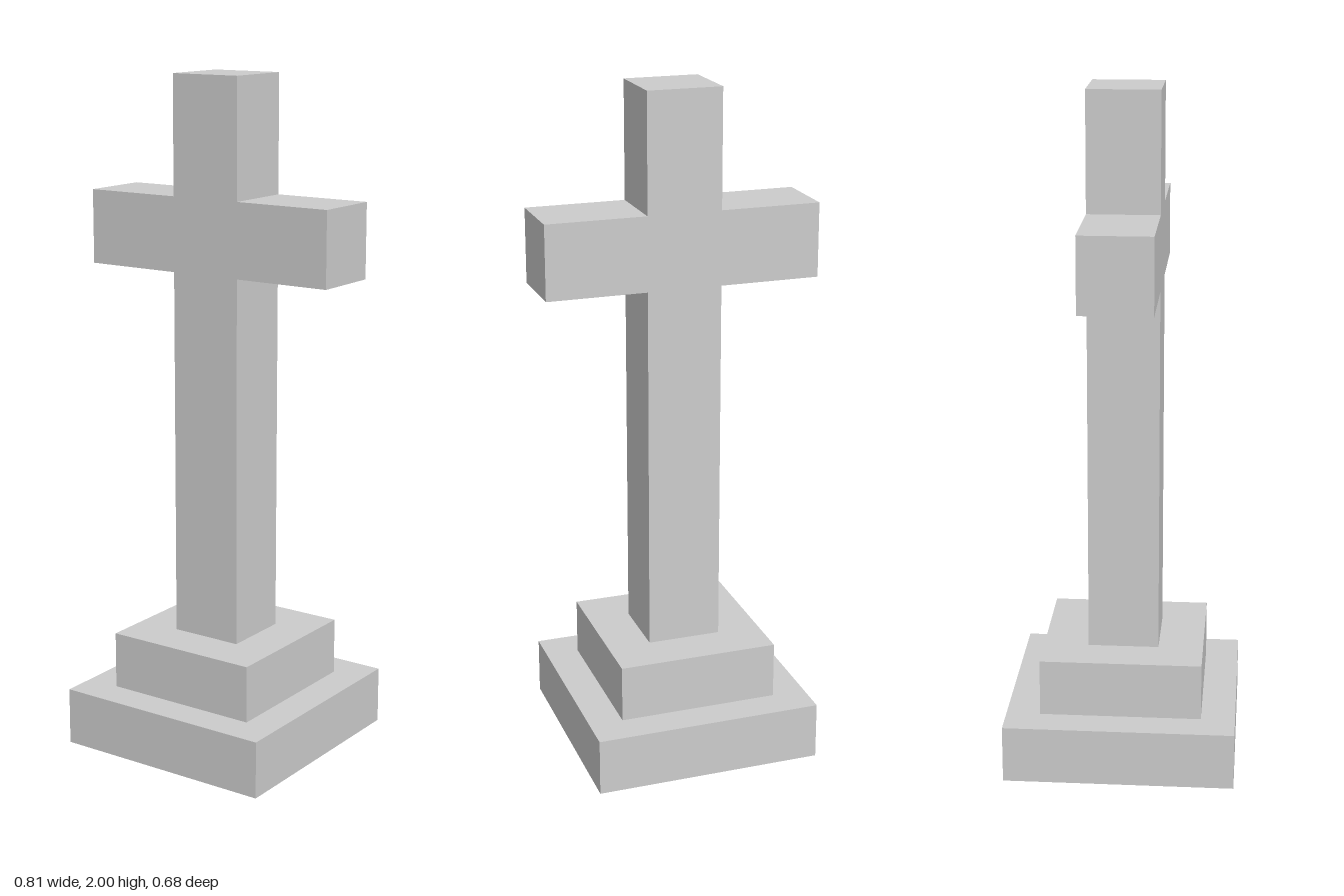
import * as THREE from 'three';

const material = new THREE.MeshStandardMaterial({
  color: 0xcccccc, flatShading: true, side: THREE.DoubleSide,
});

// Removes the faces lying flat on the lowest level, leaving a hollow shell open below
function openBottom(source) {
  const geometry = source.index ? source.toNonIndexed() : source;
  geometry.computeBoundingBox();
  const floor = geometry.boundingBox.min.y + 1e-4;
  const p = geometry.attributes.position;
  const kept = [];
  for (let i = 0; i < p.count; i += 3) {
    if (Math.max(p.getY(i), p.getY(i + 1), p.getY(i + 2)) > floor) kept.push(i, i + 1, i + 2);
  }
  geometry.clearGroups();
  geometry.setIndex(kept);
  return geometry;
}

function addShell(group, name, geometry) {
  const mesh = new THREE.Mesh(openBottom(geometry), material);
  mesh.name = name;
  group.add(mesh);
}

// Square plinth step standing on height y0
function step(width, y0, y1) {
  return new THREE.BoxGeometry(width, y1 - y0, width).translate(0, (y0 + y1) / 2, 0);
}

export function createModel() {
  const group = new THREE.Group();
  group.name = 'stoneCross';

  // Two-stepped plinth
  addShell(group, 'lowerStep', step(0.68, 0, 0.171));
  addShell(group, 'upperStep', step(0.478, 0.171, 0.341));

  // Upright and arms in one piece, the upright running down through the plinth
  const shaft = 0.11, arm = 0.406, low = 1.434, high = 1.653, depth = 0.21;
  const half = [[shaft, 0], [shaft, low], [arm, low], [arm, high], [shaft, high], [shaft, 2]];
  const mirrored = half.map(([x, y]) => [-x, y]).reverse();
  const outline = [...half, ...mirrored].map(([x, y]) => new THREE.Vector2(x, y));
  const cross = new THREE.ExtrudeGeometry(new THREE.Shape(outline), { depth, bevelEnabled: false });
  addShell(group, 'cross', cross.translate(0, 0, -depth / 2));

  return group;
}
